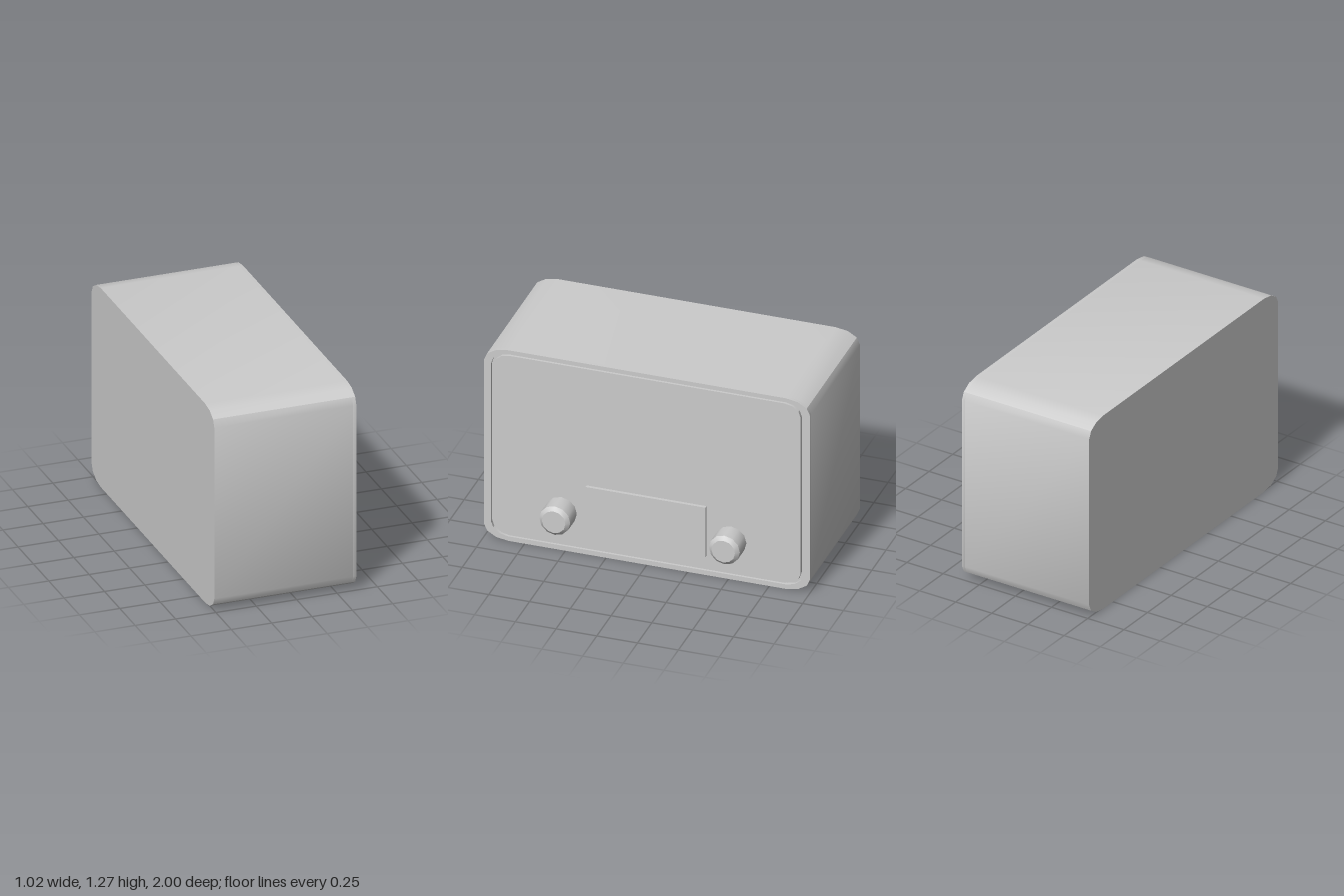
import * as THREE from 'three';
import { toCreasedNormals } from 'three/addons/utils/BufferGeometryUtils.js';

const BACK = -0.51, FACE = 0.37, GROOVE = 0.02;
const HEIGHT = 1.27;

// Outline of a rectangle (along z and up y) with elliptical corners of three facets
function outline(halfWidth, y0, y1, rz, ry) {
  const pts = [];
  const corners = [[1, 1], [-1, 1], [-1, -1], [1, -1]];
  corners.forEach(([sx, sy], q) => {
    const cx = sx * (halfWidth - rz);
    const cy = sy > 0 ? y1 - ry : y0 + ry;
    for (let i = 0; i <= 3; i++) {
      const a = (q + i / 3) * Math.PI / 2;
      pts.push(new THREE.Vector2(cx + rz * Math.cos(a), cy + ry * Math.sin(a)));
    }
  });
  return pts;
}

// Extrude an outline along x, from x0 to x1
function slab(shape, x0, x1) {
  const g = new THREE.ExtrudeGeometry(shape, { depth: x1 - x0, bevelEnabled: false });
  g.rotateY(Math.PI / 2);
  g.translate(x0, 0, 0);
  return toCreasedNormals(g, Math.PI / 6);
}

export function createModel() {
  const group = new THREE.Group();
  const material = new THREE.MeshStandardMaterial({ color: 0xcccccc });
  const add = (name, geometry) => {
    const mesh = new THREE.Mesh(geometry, material);
    mesh.name = name;
    group.add(mesh);
    return mesh;
  };

  // Case: solid block whose face is ringed by a thin raised rim
  const outer = outline(1, 0, HEIGHT, 0.15, 0.09);
  const inner = outline(0.957, 0.03, 1.243, 0.105, 0.085);
  const panel = outline(0.943, 0.039, 1.234, 0.1, 0.082);
  const rim = new THREE.Shape(outer);
  rim.holes.push(new THREE.Path(inner));
  add('caseBody', slab(new THREE.Shape(outer), BACK, FACE - GROOVE));
  add('caseRim', slab(rim, FACE - GROOVE, FACE));

  // Face panel, set off from the rim by a narrow groove
  add('facePanel', slab(new THREE.Shape(panel), FACE - GROOVE, FACE));

  // Raised display plate
  add('displayPlate', new THREE.BoxGeometry(0.03, 0.33, 0.735))
    .position.set(FACE + 0.005, 0.295, 0.002);

  // Two chamfered knobs
  const profile = [[0, 0], [0.095, 0], [0.095, 0.115], [0.072, 0.136], [0, 0.136]]
    .map(([r, h]) => new THREE.Vector2(r, h));
  const knob = toCreasedNormals(new THREE.LatheGeometry(profile, 12), Math.PI / 5.5);
  knob.rotateZ(-Math.PI / 2);
  for (const [name, z] of [['frontKnob', 0.525], ['rearKnob', -0.515]]) {
    add(name, knob).position.set(FACE, 0.258, z);
  }

  return group;
}
